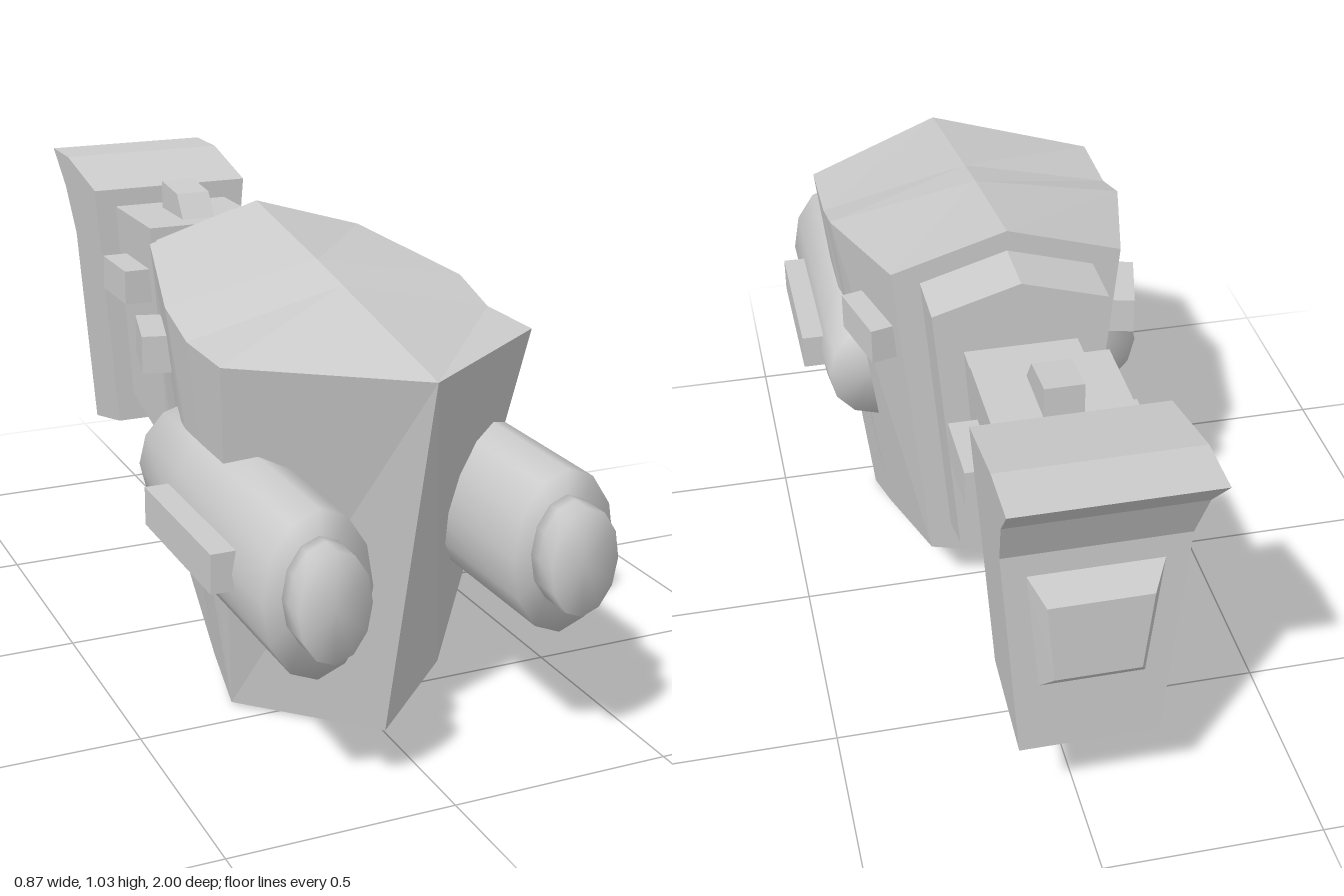
import * as THREE from 'three';
import { mergeVertices } from 'three/addons/utils/BufferGeometryUtils.js';

const material = new THREE.MeshStandardMaterial({ color: 0xcccccc });

function add(parent, name, geometry, x = 0, y = 0, z = 0) {
  const mesh = new THREE.Mesh(geometry, material);
  mesh.name = name;
  mesh.position.set(x, y, z);
  parent.add(mesh);
  return mesh;
}

// Flat-faced solid from half sections [x, y, z], ordered front to back,
// each listed from top to bottom on the +x side and mirrored to close the loop.
function loft(halves) {
  const loops = halves.map((half) => {
    const mirrored = half.filter((p) => p[0] > 0).map(([x, y, z]) => [-x, y, z]);
    return [...half, ...mirrored.reverse()];
  });
  const n = loops[0].length;
  const first = loops[0];
  const last = loops[loops.length - 1];
  const out = [];
  const tri = (a, b, c) => out.push(...a, ...b, ...c);
  for (let i = 0; i < loops.length - 1; i++) {
    for (let j = 0; j < n; j++) {
      const k = (j + 1) % n;
      tri(loops[i][j], loops[i][k], loops[i + 1][k]);
      tri(loops[i][j], loops[i + 1][k], loops[i + 1][j]);
    }
  }
  for (let j = 1; j < n - 1; j++) {
    tri(first[0], first[j + 1], first[j]);
    tri(last[0], last[j], last[j + 1]);
  }
  const g = new THREE.BufferGeometry();
  g.setAttribute('position', new THREE.Float32BufferAttribute(out, 3));
  g.computeVertexNormals();
  return g;
}

// Side profile [z, y] extruded across x; half width runs from wTop to wBottom.
function slab(profile, wTop, wBottom) {
  const shape = new THREE.Shape(profile.map(([z, y]) => new THREE.Vector2(z, y)));
  const g = new THREE.ExtrudeGeometry(shape, { depth: 2, bevelEnabled: false });
  g.translate(0, 0, -1).rotateY(-Math.PI / 2);
  const ys = profile.map((p) => p[1]);
  const lo = Math.min(...ys);
  const hi = Math.max(...ys);
  const p = g.attributes.position;
  for (let i = 0; i < p.count; i++) {
    const t = (p.getY(i) - lo) / (hi - lo);
    p.setX(i, p.getX(i) * THREE.MathUtils.lerp(wBottom, wTop, t));
  }
  g.computeVertexNormals();
  return g;
}

// Twelve-sided oval drum along z with soft shading; the rear can be pinched upward.
function drum(rx, ry, z0, z1, rearScale = 1, rearLift = 0) {
  const g = new THREE.CylinderGeometry(1, 1, 1, 12, 2);
  g.rotateX(Math.PI / 2);
  const zMid = rearScale < 1 ? z0 + 0.2 : (z0 + z1) / 2;
  const p = g.attributes.position;
  for (let i = 0; i < p.count; i++) {
    const z = p.getZ(i);
    const rear = z < -0.1;
    const y = p.getY(i) * ry * (rear ? rearScale : 1) + (rear ? rearLift : 0);
    p.setXYZ(i, p.getX(i) * rx, y, rear ? z0 : z > 0.1 ? z1 : zMid);
  }
  g.deleteAttribute('normal');
  g.deleteAttribute('uv');
  const welded = mergeVertices(g, 1e-4);
  welded.computeVertexNormals();
  return welded;
}

export function createModel() {
  const model = new THREE.Group();
  model.name = 'spacecraft';

  // Wedge-nosed main hull with a ridged top and keel
  add(model, 'hull', loft([
    [[0, 0.86, 0.87], [0.355, 0.86, 0.62], [0.26, 0.005, 0.43], [0, 0.005, 0.68]],
    [[0, 0.945, 0.43], [0.355, 0.86, 0.43], [0.26, 0.005, 0.43], [0, 0, 0.53]],
    [[0, 0.97, 0.3], [0.355, 0.9, 0.3], [0.242, 0.05, 0.28], [0, 0, 0.28]],
    [[0, 1.03, -0.05], [0.265, 0.95, -0.05], [0.19, 0.15, -0.05], [0, 0.1, -0.05]],
  ]));

  // Collar behind the hull
  add(model, 'collar', loft([
    [[0, 0.98, -0.04], [0.2, 0.92, -0.04], [0.14, 0.21, -0.04], [0, 0.155, -0.04]],
    [[0, 0.98, -0.195], [0.2, 0.92, -0.195], [0.145, 0.275, -0.195], [0, 0.225, -0.195]],
  ]));

  // Neck, rear block and its top fin
  add(model, 'neck', slab(
    [[-0.19, 0.82], [-0.38, 0.82], [-0.38, 0.46], [-0.19, 0.405]], 0.13, 0.1));
  add(model, 'rearBlock', slab(
    [[-0.375, 0.905], [-0.648, 0.905], [-0.648, 0.385], [-0.375, 0.305]], 0.152, 0.11));
  add(model, 'topFin', slab(
    [[-0.43, 0.9], [-0.475, 0.963], [-0.587, 0.975], [-0.587, 0.9]], 0.043, 0.043));

  // Tail with an overhanging lip
  add(model, 'tail', slab([
    [-0.645, 0.95], [-0.865, 1], [-1, 1], [-0.92, 0.91],
    [-0.865, 0.79], [-0.865, 0.255], [-0.645, 0.31],
  ], 0.212, 0.153));

  // Raised exhaust panel on the tail
  add(model, 'exhaust', loft([
    [[0.145, 0.74, -0.86], [0.115, 0.43, -0.86]],
    [[0.11, 0.685, -0.912], [0.092, 0.49, -0.912]],
  ]));

  // Mirrored pods and side blocks
  for (const s of [1, -1]) {
    const side = s > 0 ? 'left' : 'right';
    const pod = new THREE.Group();
    pod.name = side + 'Pod';
    pod.position.set(s * 0.273, 0.48, 0);
    model.add(pod);
    add(pod, 'podBody', drum(0.117, 0.18, 0.21, 0.92, 0.72, 0.04));
    add(pod, 'podNozzle', drum(0.077, 0.118, 0.9, 1), 0, 0.007, 0);
    add(pod, 'podFin', new THREE.BoxGeometry(0.08, 0.086, 0.39), s * 0.122, 0.007, 0.57);

    const block = add(model, side + 'HullBlock',
      new THREE.BoxGeometry(0.1, 0.086, 0.175), s * 0.285, 0.748, 0.07);
    block.rotation.y = s * 0.25;
    add(model, side + 'RearSideBlock',
      new THREE.BoxGeometry(0.09, 0.086, 0.177), s * 0.163, 0.748, -0.5);
  }
  return model;
}
